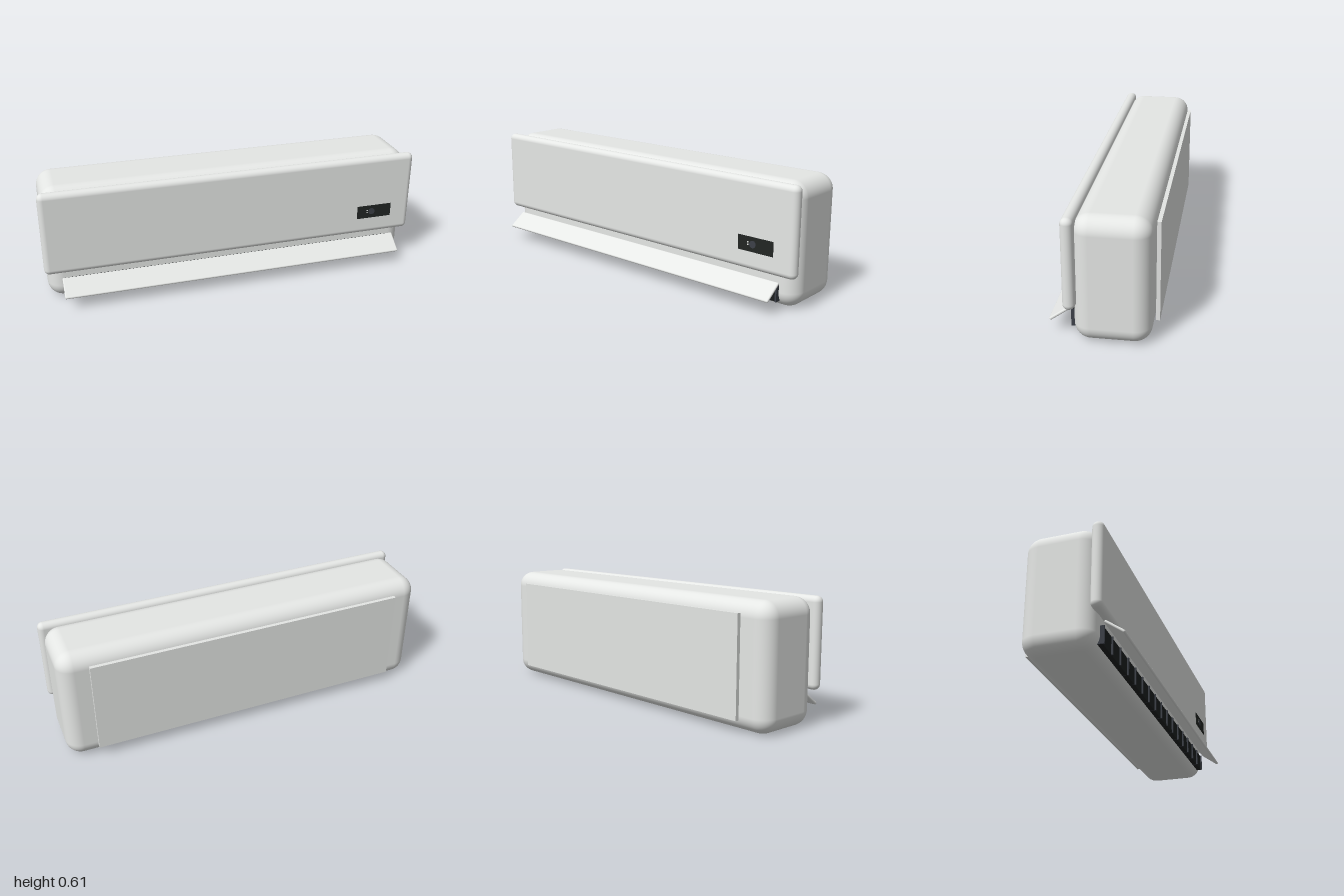
import * as THREE from 'three';
import { RoundedBoxGeometry } from 'three/addons/geometries/RoundedBoxGeometry.js';

export function createModel() {
  const model = new THREE.Group();
  model.name = 'airConditioner';

  const material = (name, color) => {
    const m = new THREE.MeshStandardMaterial({ color });
    m.name = name;
    return m;
  };
  const shell = material('white plastic', 0xeceeec);
  const plate = material('mounting grey', 0xe4e6e4);
  const black = material('vent black', 0x1c1f20);
  const charcoal = material('fin charcoal', 0x3c4048);
  const screen = material('display black', 0x222624);
  const light = material('indicator white', 0xf4f6f4);

  const add = (name, geometry, mat, x, y, z, parent = model) => {
    const mesh = new THREE.Mesh(geometry, mat);
    mesh.name = name;
    mesh.position.set(x, y, z);
    parent.add(mesh);
    return mesh;
  };
  const box = (w, h, d) => new THREE.BoxGeometry(w, h, d);
  const rounded = (w, h, d, r, seg = 6) => new RoundedBoxGeometry(w, h, d, seg, r);

  // Main housing, front cover and wall plate
  add('housing', rounded(1.97, 0.612, 0.355, 0.08, 8), shell, 0, 0.306, -0.0475);
  add('frontPanel', rounded(2, 0.444, 0.058, 0.0285), shell, 0, 0.39, 0.141);
  add('wallPlate', box(1.67, 0.493, 0.019), plate, 0, 0.3065, -0.24);

  // Air outlet with upright fins
  const outlet = new THREE.Group();
  outlet.name = 'airOutlet';
  model.add(outlet);
  add('outletBack', box(1.79, 0.089, 0.05), black, 0, 0.0815, 0.117, outlet);
  const fins = 17;
  for (let i = 0; i < fins; i++) {
    const x = -0.894 + (1.788 * i) / (fins - 1);
    add('outletFin', box(0.008, 0.089, 0.06), charcoal, x, 0.0815, 0.12, outlet);
  }

  // Tilted louver flap
  const louver = add('louver', rounded(1.83, 0.014, 0.116, 0.0065, 3), shell, 0, 0.104, 0.201);
  louver.rotation.x = 0.628;

  // Display window with indicator marks
  add('displayWindow', box(0.196, 0.073, 0.006), screen, 0.787, 0.2985, 0.17);
  add('displayDial', new THREE.CylinderGeometry(0.018, 0.018, 0.003, 20), charcoal, 0.772, 0.3, 0.1735)
    .rotation.x = Math.PI / 2;
  for (const y of [0.296, 0.308]) {
    add('indicator', box(0.007, 0.006, 0.003), light, 0.746, y, 0.1735);
  }

  return model;
}
